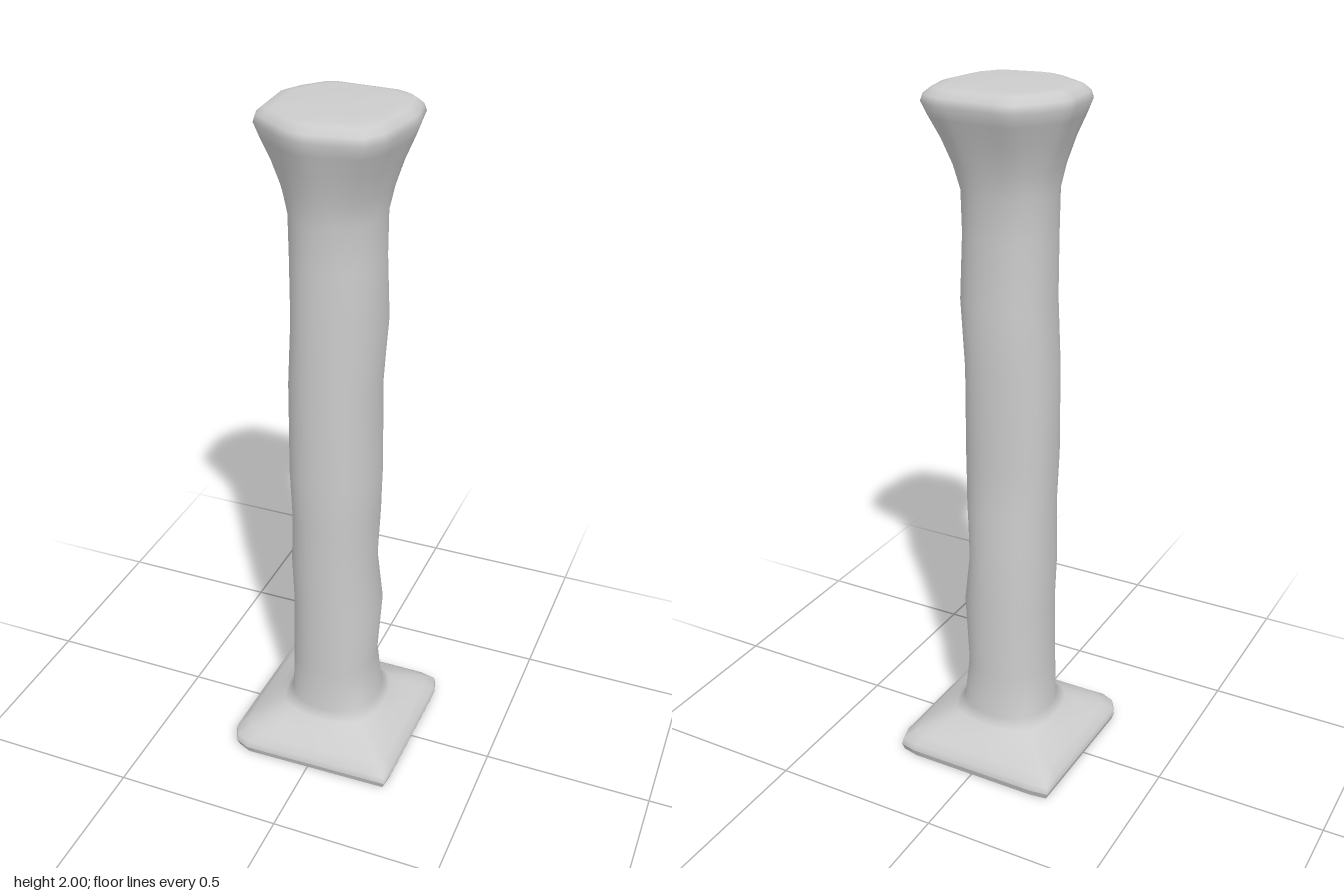
import * as THREE from 'three';

const SIDES = 48;
const angles = Array.from({ length: SIDES }, (_, i) => (i / SIDES) * Math.PI * 2);

// Radii of a convex [x, z] outline, sampled around the axis
function polygonRadii(points) {
  return angles.map((a) => {
    const dx = Math.cos(a), dz = Math.sin(a);
    let r = Infinity;
    points.forEach(([x, z], i) => {
      const [x2, z2] = points[(i + 1) % points.length];
      const ex = x2 - x, ez = z2 - z;
      const t = (x * ez - z * ex) / (dx * ez - dz * ex);
      if (t > 0) r = Math.min(r, t);
    });
    return r;
  });
}

// Radii of a slightly squared round section with its own reach on each side
function roundRadii(xMin, xMax, zMin, zMax) {
  return angles.map((a) => {
    const c = Math.cos(a), s = Math.sin(a), p = 2.2;
    const u = Math.abs(c / (c > 0 ? xMax : xMin)), v = Math.abs(s / (s > 0 ? zMax : zMin));
    return Math.pow(u ** p + v ** p, -1 / p);
  });
}

const mix = (a, b, t) => a.map((r, i) => r + (b[i] - r) * t);
const scale = (a, k) => a.map((r) => r * k);

// Skin through rings { y, radii }, optionally closed by a centre point above or below
function loft(rings, { top, bottom } = {}) {
  const pos = [], index = [];
  for (const { y, radii } of rings) {
    radii.forEach((r, i) => pos.push(r * Math.cos(angles[i]), y, r * Math.sin(angles[i])));
  }
  const last = (rings.length - 1) * SIDES;
  for (let j = 0; j < SIDES; j++) {
    const k = (j + 1) % SIDES;
    for (let o = 0; o < last; o += SIDES) {
      index.push(o + j, o + SIDES + j, o + k, o + k, o + SIDES + j, o + SIDES + k);
    }
  }
  const cap = (y, ring, up) => {
    const centre = pos.length / 3;
    pos.push(0, y, 0);
    for (let j = 0; j < SIDES; j++) {
      const a = ring + j, b = ring + ((j + 1) % SIDES);
      index.push(centre, up ? b : a, up ? a : b);
    }
  };
  if (top !== undefined) cap(top, last, true);
  if (bottom !== undefined) cap(bottom, 0, false);
  const g = new THREE.BufferGeometry();
  g.setAttribute('position', new THREE.Float32BufferAttribute(pos, 3));
  g.setIndex(index);
  g.computeVertexNormals();
  return g;
}

export function createModel() {
  const group = new THREE.Group();
  group.name = 'column';
  const material = new THREE.MeshStandardMaterial({ color: 0xcccccc });
  const add = (name, geometry) => {
    const mesh = new THREE.Mesh(geometry, material);
    mesh.name = name;
    group.add(mesh);
  };

  // Square foot with two chipped corners
  const foot = polygonRadii([
    [0.255, 0.25], [-0.22, 0.26], [-0.262, 0.222], [-0.253, -0.26], [0.235, -0.258], [0.26, -0.235],
  ]);
  // Irregular worn outline of the capital
  const head = polygonRadii([
    [0.205, -0.04], [0.18, 0.13], [0.14, 0.192], [-0.015, 0.216], [-0.07, 0.192], [-0.19, 0.1],
    [-0.2, -0.06], [-0.165, -0.13], [-0.103, -0.206], [0.12, -0.192], [0.182, -0.155],
  ]);

  // Shaft sections: y, xMin, xMax, zMin, zMax
  const shaft = [
    [0.14, -0.135, 0.138, -0.135, 0.135],
    [0.28, -0.13, 0.12, -0.132, 0.135],
    [0.48, -0.125, 0.135, -0.13, 0.138],
    [0.63, -0.13, 0.115, -0.13, 0.143],
    [0.8, -0.125, 0.125, -0.12, 0.145],
    [0.95, -0.13, 0.13, -0.11, 0.153],
    [1.22, -0.13, 0.124, -0.125, 0.148],
    [1.42, -0.118, 0.139, -0.122, 0.15],
    [1.6, -0.12, 0.132, -0.113, 0.145],
    [1.72, -0.122, 0.131, -0.125, 0.145],
  ].map(([y, ...reach]) => ({ y, radii: roundRadii(...reach) }));
  const low = shaft[0].radii, high = shaft[shaft.length - 1].radii;

  // Body: sloping base, uneven shaft, flared capital and softened top
  add('columnBody', loft([
    { y: 0.02, radii: foot },
    { y: 0.04, radii: scale(foot, 0.985) },
    { y: 0.06, radii: mix(foot, low, 0.22) },
    { y: 0.09, radii: mix(foot, low, 0.56) },
    { y: 0.115, radii: mix(foot, low, 0.84) },
    ...shaft,
    { y: 1.79, radii: mix(high, head, 0.2) },
    { y: 1.86, radii: mix(high, head, 0.5) },
    { y: 1.92, radii: mix(high, head, 0.83) },
    { y: 1.955, radii: head },
    { y: 1.975, radii: scale(head, 0.97) },
    { y: 1.992, radii: scale(head, 0.87) },
    { y: 1.998, radii: scale(head, 0.72) },
  ], { top: 2 }));

  // Thin undercut edge below the base, and the flat underside
  const under = scale(foot, 0.975);
  add('baseEdge', loft([{ y: 0, radii: under }, { y: 0.02, radii: foot }]));
  add('underside', loft([{ y: 0, radii: under }], { bottom: 0 }));

  return group;
}
